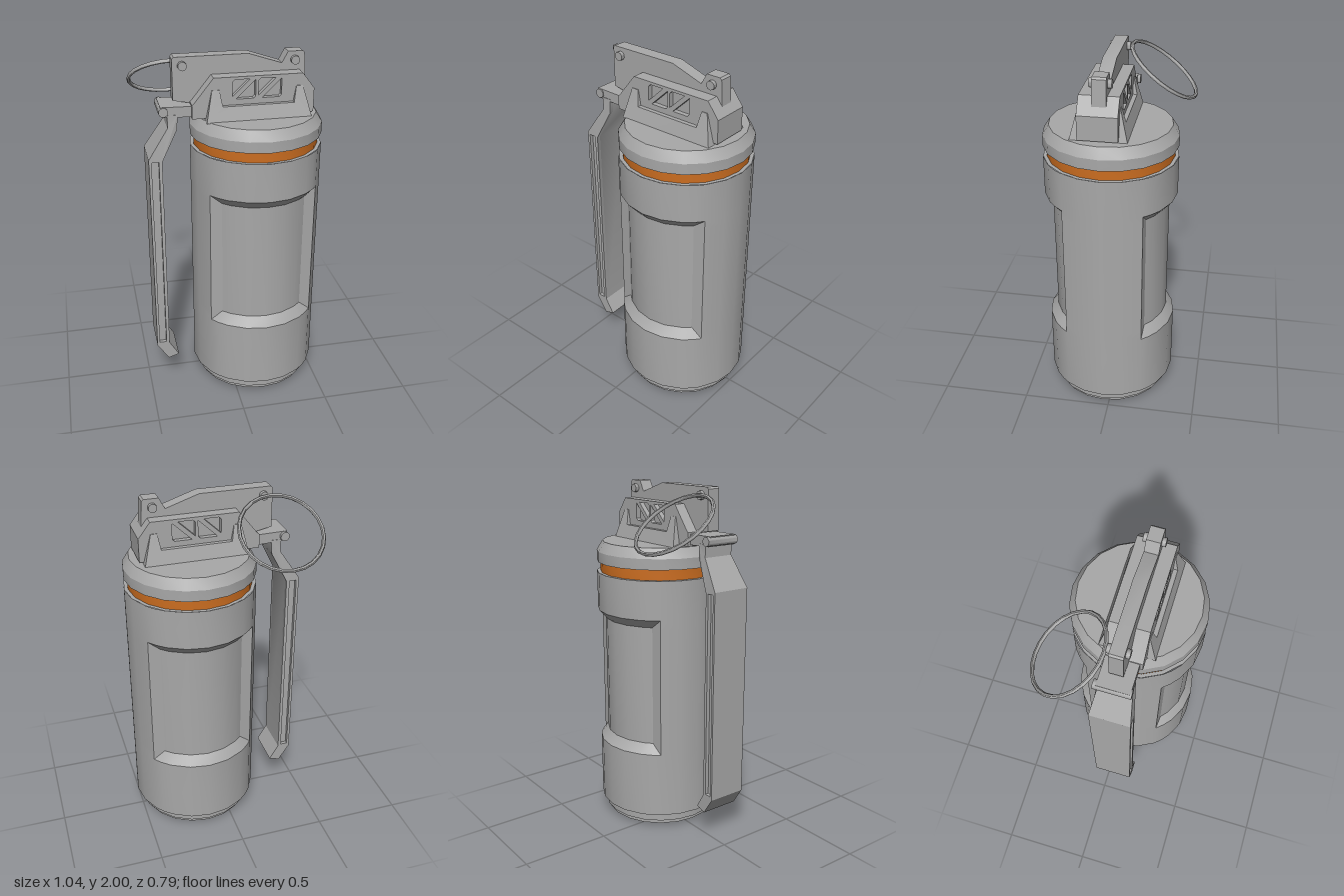
import * as THREE from 'three';
import { toCreasedNormals } from 'three/addons/utils/BufferGeometryUtils.js';

const metal = new THREE.MeshStandardMaterial({ color: 0xa8a8a8 });
metal.name = 'grey metal';
const orange = new THREE.MeshStandardMaterial({ color: 0xcb6d20 });
orange.name = 'orange band';

const CX = 0.155, CZ = 0.03; // canister axis
const HZ = 0.05;             // centre plane of the head and lever
const SIDES = 20;

export function createModel() {
  const model = new THREE.Group();
  model.name = 'canister';

  function add(name, geometry, material = metal, crease = 0.5) {
    const mesh = new THREE.Mesh(toCreasedNormals(geometry, crease), material);
    mesh.name = name;
    model.add(mesh);
    return mesh;
  }
  const vecs = (pts) => pts.map(([x, y]) => new THREE.Vector2(x, y));

  function turned(name, profile, material) {
    const mesh = add(name, new THREE.LatheGeometry(vecs(profile), SIDES), material);
    mesh.position.set(CX, 0, CZ);
  }

  // Side profile in x/y, extruded from z0 to z1
  function slab(pts, z0, z1, holes = []) {
    const shape = new THREE.Shape(vecs(pts));
    holes.forEach((h) => shape.holes.push(new THREE.Path(vecs(h))));
    const g = new THREE.ExtrudeGeometry(shape, { depth: z1 - z0, bevelEnabled: false });
    return g.translate(0, 0, z0);
  }

  // Scale the depth about the head's centre plane by a rule on height
  function taper(g, rule) {
    const p = g.attributes.position;
    for (let i = 0; i < p.count; i++) p.setZ(i, HZ + (p.getZ(i) - HZ) * rule(p.getY(i)));
    return g;
  }

  function pin(name, x, y, r, halfLength) {
    const g = new THREE.CylinderGeometry(r, r, halfLength * 2, 10).rotateX(Math.PI / 2);
    add(name, g, metal, 0.8).position.set(x, y, HZ - 0.005);
  }

  // --- Canister ---
  turned('base', [[0, 0.02], [0.255, 0.02], [0.265, 0], [0.28, 0], [0.28, 0.02], [0.325, 0.02],
    [0.325, 0.045], [0.34, 0.045], [0.34, 0.095], [0.365, 0.095]]);
  turned('colourBand', [[0.345, 1.5], [0.345, 1.56]], orange);
  turned('bodyShoulder', [[0.365, 1.5], [0.345, 1.5]]);
  turned('cap', [[0.345, 1.56], [0.365, 1.56], [0.365, 1.62], [0.33, 1.675], [0, 1.675]]);
  add('body', bodyShell()).position.set(CX, 0, CZ);

  // --- Head base: tapered U-shaped saddle ---
  const saddle = slab([[-0.145, 1.67], [0.425, 1.67], [0.38, 1.835], [0.345, 1.835], [0.33, 1.75],
    [-0.055, 1.75], [-0.07, 1.835], [-0.11, 1.835]], HZ - 0.15, HZ + 0.15);
  add('saddle', taper(saddle, (y) => (y < 1.7 ? 1 : y < 1.8 ? 0.85 : 0.72)));

  // --- Head block: solid core with a truss-cut plate on each side ---
  const block = [[-0.215, 1.685], [0.445, 1.685], [0.445, 1.815], [0.38, 1.9], [-0.1, 1.9], [-0.2, 1.775], [-0.215, 1.76]];
  const cuts = [];
  for (const x of [0, 0.14]) {
    cuts.push([[x, 1.795], [x + 0.095, 1.885], [x + 0.012, 1.885], [x, 1.873]]);
    cuts.push([[x + 0.02, 1.78], [x + 0.113, 1.78], [x + 0.125, 1.792], [x + 0.125, 1.88]]);
  }
  add('headCore', slab(block, HZ - 0.077, HZ + 0.077));
  add('headPlateFront', slab(block, HZ + 0.077, HZ + 0.104, cuts));
  add('headPlateBack', slab(block, HZ - 0.104, HZ - 0.077, cuts));

  // --- Striker arm on top with its two cross pins ---
  add('strikerArm', slab([[-0.305, 1.77], [-0.2, 1.75], [0.4, 1.84], [0.415, 1.85], [0.405, 1.99], [0.395, 2],
    [0.315, 2], [0.282, 1.94], [0.1, 2], [-0.295, 2], [-0.305, 1.99]], 0.008, 0.082));
  pin('ringPin', -0.253, 1.955, 0.024, 0.058);
  pin('pivotPin', 0.352, 1.955, 0.024, 0.058);

  // --- Lever: shelf, hinge roll and long slotted handle ---
  add('leverShelf', slab([[-0.37, 1.7], [-0.13, 1.69], [-0.13, 1.75], [-0.38, 1.755]], HZ - 0.088, HZ + 0.088));
  pin('hingeRoll', -0.365, 1.728, 0.026, 0.1);
  const handle = [[-0.455, 0.28], [-0.39, 0.18], [-0.328, 0.2], [-0.382, 0.29], [-0.382, 1.46],
    [-0.295, 1.63], [-0.29, 1.71], [-0.345, 1.71], [-0.345, 1.64], [-0.455, 1.475]];
  const slot = [[-0.44, 0.3], [-0.4, 0.3], [-0.4, 1.46], [-0.44, 1.46]];
  const narrow = (y) => (y > 1.6 ? 0.8 : 1);
  add('leverCore', taper(slab(handle, HZ - 0.092, HZ + 0.092), narrow));
  add('leverSideFront', taper(slab(handle, HZ + 0.092, HZ + 0.113, [slot]), narrow));
  add('leverSideBack', taper(slab(handle, HZ - 0.113, HZ - 0.092, [slot]), narrow));

  // --- Pull ring, hanging at a slant to the back ---
  const ring = add('pullRing', new THREE.TorusGeometry(0.227, 0.011, 6, 24), metal, 1.2);
  ring.position.set(-0.283, 1.822, -0.2);
  ring.rotation.x = 0.93;

  return model;
}

// Cylinder wall with a bevelled recess on its front and its back
function bodyShell() {
  const rows = [0.095, 0.48, 0.535, 1.23, 1.28, 1.5];
  const half = [-54, -46, -36, -18, 0, 18, 36, 46, 54, 72, 90, 108];
  const angles = [...half, ...half.map((a) => a + 180), 306];
  const sunk = (i, j) => {
    const a = (angles[i] + 90) % 180 - 90; // angle from the nearer recess centre
    return (j === 2 || j === 3) && Math.abs(a) < 50;
  };
  const positions = [], index = [];
  const at = (i, j) => i * rows.length + j;
  angles.forEach((deg, i) => rows.forEach((y, j) => {
    const r = sunk(i, j) ? 0.322 : 0.366;
    const a = THREE.MathUtils.degToRad(deg);
    positions.push(Math.sin(a) * r, y, Math.cos(a) * r);
  }));
  for (let i = 0; i < angles.length - 1; i++) {
    for (let j = 0; j < rows.length - 1; j++) {
      const a = at(i, j), b = at(i + 1, j), c = at(i + 1, j + 1), d = at(i, j + 1);
      // Run the diagonal through the sunk corner so the bevels meet in a mitre
      if (sunk(i, j) !== sunk(i + 1, j + 1)) index.push(a, b, c, a, c, d);
      else index.push(a, b, d, b, c, d);
    }
  }
  const g = new THREE.BufferGeometry();
  g.setAttribute('position', new THREE.Float32BufferAttribute(positions, 3));
  g.setIndex(index);
  return g;
}
